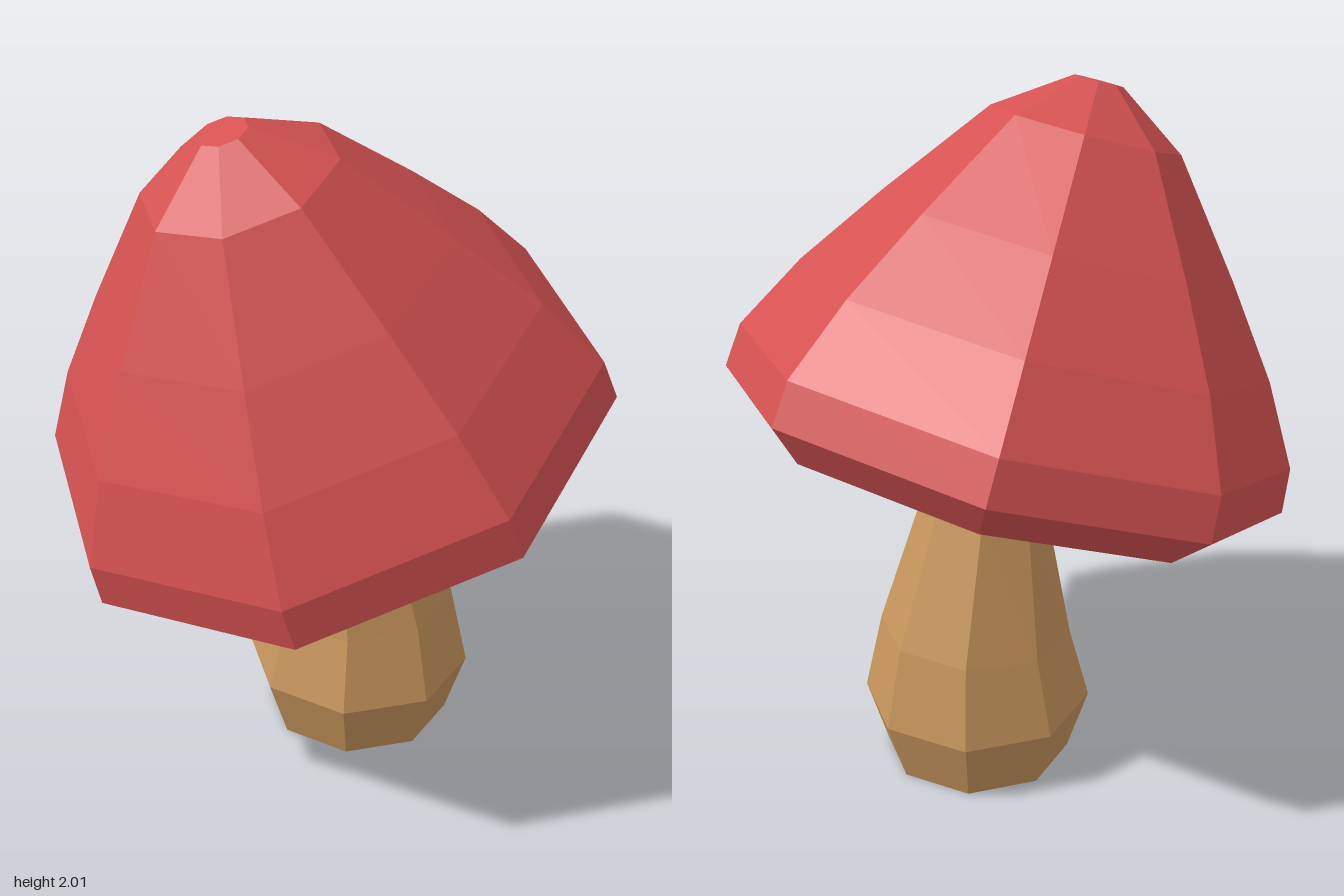
import * as THREE from 'three';

const SIDES = 8;
const TILT = 0.335; // lean of the cap and of the upper stem, towards -x

const material = (color) => new THREE.MeshStandardMaterial({ color, flatShading: true });
const profile = (pairs) => pairs.map(([r, y]) => new THREE.Vector2(r, y));

// Faceted cap: hollow underside, rim and dome as one closed profile
function createCap() {
  const geometry = new THREE.LatheGeometry(profile([
    [0, 0.155], [0.72, -0.095], [0.83, 0], [0.817, 0.13], [0.69, 0.358],
    [0.51, 0.608], [0.275, 0.911], [0.07, 1.05], [0, 1.05],
  ]), SIDES);
  const cap = new THREE.Mesh(geometry, material(0xd65252));
  cap.name = 'cap';
  cap.position.set(0.01, 0.995, 0);
  cap.rotation.z = TILT;
  return cap;
}

// Bent stem: each ring has its own centre, radius and lean
function createStem() {
  const rings = [
    { x: 0.118, y: 0, r: 0, lean: 0 },
    { x: 0.118, y: 0, r: 0.275, lean: 0 },
    { x: 0.118, y: 0.19, r: 0.337, lean: 0 },
    { x: 0.122, y: 0.42, r: 0.282, lean: 0.06 },
    { x: 0.075, y: 0.81, r: 0.185, lean: TILT },
    { x: -0.055, y: 1.185, r: 0.18, lean: TILT },
    { x: -0.055, y: 1.185, r: 0, lean: TILT },
  ];
  const geometry = new THREE.LatheGeometry(profile(rings.map(({ r, y }) => [r, y])), SIDES);
  const position = geometry.attributes.position;
  for (let i = 0; i < position.count; i++) {
    const ring = rings[i % rings.length];
    const across = position.getX(i);
    position.setX(i, ring.x + across * Math.cos(ring.lean));
    position.setY(i, ring.y + across * Math.sin(ring.lean));
  }
  geometry.computeVertexNormals();
  const stem = new THREE.Mesh(geometry, material(0xc8965c));
  stem.name = 'stem';
  return stem;
}

export function createModel() {
  const mushroom = new THREE.Group();
  mushroom.name = 'mushroom';
  mushroom.add(createStem(), createCap());
  return mushroom;
}
